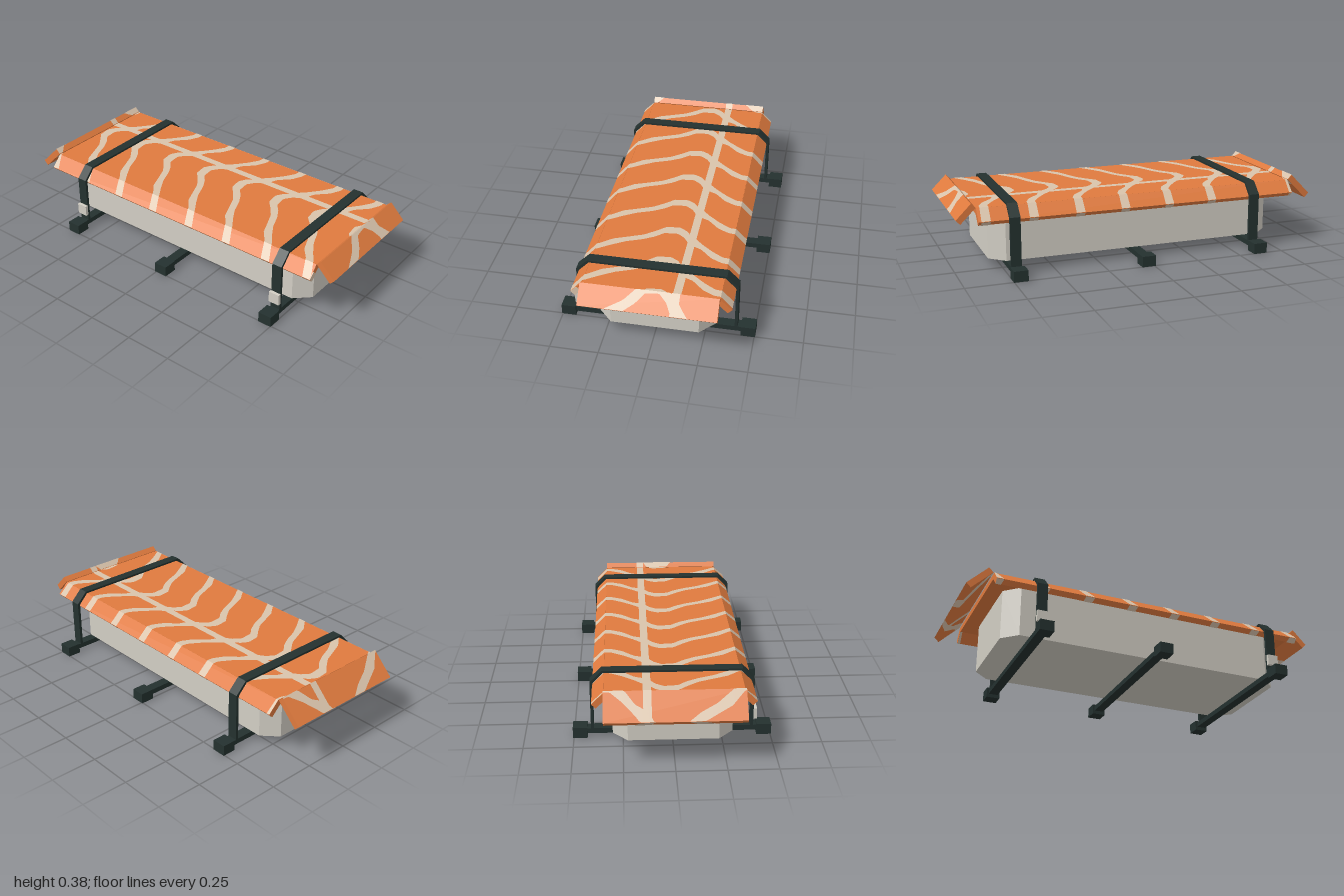
import * as THREE from 'three';

const mat = (name, color) => Object.assign(new THREE.MeshStandardMaterial({ color }), { name });

export function createModel() {
  const orange = mat('cover orange', 0xdf7a3e);
  const cream = mat('stripe cream', 0xd9c3ab);
  const grey = mat('case grey', 0xd2cec4);
  const dark = mat('rack dark green', 0x24312f);
  const model = new THREE.Group();
  model.name = 'strappedCase';

  const add = (name, geometry, material, parent = model) => {
    const mesh = new THREE.Mesh(geometry, material);
    mesh.name = name;
    parent.add(mesh);
    return mesh;
  };
  const box = (name, w, h, d, x, y, z, material, parent) =>
    add(name, new THREE.BoxGeometry(w, h, d), material, parent).position.set(x, y, z);
  // Prism with its outline in x-y, running along z from z0 to z1
  const prism = (pts, z0, z1) => new THREE.ExtrudeGeometry(
    new THREE.Shape(pts.map(p => new THREE.Vector2(...p))),
    { depth: z1 - z0, bevelEnabled: false }).translate(0, 0, z0);
  const mirrorX = pts => pts.map(([x, y]) => [-x, y]).reverse();

  // Case with cut corners
  const X = 0.302, Z = 0.80, cx = 0.075, cz = 0.08;
  const outline = [[X - cx, -Z], [X, cz - Z], [X, Z - cz], [X - cx, Z],
    [cx - X, Z], [-X, Z - cz], [-X, cz - Z], [cx - X, -Z]];
  add('case', prism(outline, 0.05, 0.326).rotateX(-Math.PI / 2).translate(0, 0, 0.02), grey);

  // Cover: flat top, two side flaps, two end flaps
  const zBack = -0.86, zFront = 0.896;
  const cover = new THREE.Group();
  cover.name = 'cover';
  model.add(cover);
  box('coverTop', 0.68, 0.031, zFront - zBack, 0, 0.3395, (zFront + zBack) / 2, orange, cover);
  const side = [[0.40, 0.296], [0.341, 0.355], [0.319, 0.333], [0.378, 0.274]];
  add('leftFlap', prism(side, zBack, zFront), orange, cover);
  add('rightFlap', prism(mirrorX(side), zBack, zFront), orange, cover);
  const endFlap = (name, pts) =>
    add(name, prism(pts, -0.342, 0.342).rotateY(-Math.PI / 2), orange, cover);
  endFlap('frontFlap', [[0.92, 0.38], [0.897, 0.357], [0.977, 0.277], [1.0, 0.30]]);
  endFlap('backFlap', [[-0.888, 0.38], [-1.0, 0.268], [-0.976, 0.244], [-0.864, 0.356]]);

  // Stripe rule: x, offset along z, half width
  const rib = [[-0.41, 0.235, 0.025], [-0.33, 0.2, 0.022], [-0.27, 0.155, 0.026],
    [-0.2, 0.12, 0.019], [-0.12, 0.088, 0.02], [-0.06, 0.048, 0.026], [-0.02, 0.012, 0.026],
    [0.05, 0.004, 0.027], [0.09, 0.03, 0.03], [0.12, 0.07, 0.035], [0.15, 0.09, 0.032],
    [0.19, 0.118, 0.02], [0.25, 0.172, 0.026], [0.31, 0.205, 0.022], [0.41, 0.21, 0.024]];
  const ribAt = x => {
    const i = Math.max(1, rib.findIndex(p => p[0] >= x));
    const [a, b] = [rib[i - 1], rib[i]];
    const t = (x - a[0]) / (b[0] - a[0]);
    return [a[1] + (b[1] - a[1]) * t, a[2] + (b[2] - a[2]) * t];
  };
  // Drape the stripes on a surface y = height(x, z); facing is 1 for up, -1 for down
  const drape = (name, x0, x1, z0, z1, facing, height) => {
    const pos = [];
    const v = (x, z) => [x, height(x, z) + facing * 0.002, z];
    const clamp = z => Math.min(z1, Math.max(z0, z));
    const quad = (xa, loA, hiA, xb, loB, hiB) => {
      const [a, b, c, d] = [v(xa, clamp(loA)), v(xa, clamp(hiA)), v(xb, clamp(hiB)), v(xb, clamp(loB))];
      if (b[2] - a[2] + c[2] - d[2] < 1e-5) return;
      pos.push(...(facing > 0 ? [a, b, c, a, c, d] : [a, c, b, a, d, c]).flat());
    };
    const n = Math.max(3, Math.ceil((x1 - x0) / 0.012));
    for (let k = -1; k <= 7; k++) {
      const peak = -0.83 + 0.2465 * k;
      for (let i = 0; i < n; i++) {
        const xa = x0 + (x1 - x0) * i / n, xb = x0 + (x1 - x0) * (i + 1) / n;
        const [ca, wa] = ribAt(xa), [cb, wb] = ribAt(xb);
        quad(xa, peak + ca - wa, peak + ca + wa, xb, peak + cb - wb, peak + cb + wb);
      }
    }
    // Spine stripe
    if (x0 < 0.1 && x1 > 0.16) quad(0.112, z0, z1, 0.152, z0, z1);
    const g = new THREE.BufferGeometry();
    g.setAttribute('position', new THREE.Float32BufferAttribute(pos, 3));
    g.computeVertexNormals();
    add(name, g, cream, cover);
  };
  drape('topStripes', -0.341, 0.341, zBack, zFront, 1, () => 0.355);
  for (const [label, a, s] of [['left', 1, 1], ['right', -1, -1]]) {
    const strip = (part, xi, xo, facing, h) => drape(label + part,
      Math.min(s * xi, s * xo), Math.max(s * xi, s * xo), zBack, zFront, facing, x => h(a * x));
    strip('FlapStripes', 0.341, 0.40, 1, x => 0.696 - x);
    strip('FlapEdgeStripes', 0.378, 0.40, -1, x => x - 0.104);
    strip('FlapInnerStripes', 0.319, 0.378, -1, x => 0.652 - x);
  }
  const W = 0.342;
  drape('frontFlapStripes', -W, W, 0.92, 1.0, 1, (x, z) => 1.30 - z);
  drape('frontFlapTopEdgeStripes', -W, W, 0.897, 0.92, 1, (x, z) => z - 0.54);
  drape('frontFlapInnerStripes', -W, W, 0.897, 0.977, -1, (x, z) => 1.254 - z);
  drape('frontFlapLowerEdgeStripes', -W, W, 0.977, 1.0, -1, (x, z) => z - 0.70);
  drape('backFlapStripes', -W, W, -1.0, -0.888, 1, (x, z) => z + 1.268);
  drape('backFlapTopEdgeStripes', -W, W, -0.888, -0.864, 1, (x, z) => -0.508 - z);
  drape('backFlapInnerStripes', -W, W, -0.976, -0.864, -1, (x, z) => z + 1.22);
  drape('backFlapLowerEdgeStripes', -W, W, -1.0, -0.976, -1, (x, z) => -0.732 - z);
  // Stripe running over the end of the right flap
  add('flapEndStripe', prism([[-0.40, 0.296], [-0.378, 0.274], [-0.347, 0.305], [-0.369, 0.327]],
    zFront, zFront + 0.003), cream, cover);

  // Crossbars with end blocks
  for (const z of [0.715, 0.03, -0.62]) {
    box('crossbar', 0.88, 0.028, 0.052, 0, 0.034, z, dark);
    for (const s of [-1, 1]) box('foot', 0.075, 0.057, 0.075, s * 0.4675, 0.0285, z, dark);
  }

  // Straps over the cover, each with a buckle on the right
  const outer = [[0.413, 0.04], [0.413, 0.308], [0.352, 0.369]];
  const inner = [[0.398, 0.04], [0.398, 0.302], [0.345, 0.358]];
  const band = [...outer, ...mirrorX(outer), ...mirrorX(inner).reverse(), ...[...inner].reverse()];
  for (const z of [0.715, -0.62]) {
    add('strap', prism(band, z - 0.0275, z + 0.0275), dark);
    box('buckle', 0.017, 0.06, 0.06, -0.4215, 0.115, z, grey);
  }
  return model;
}
